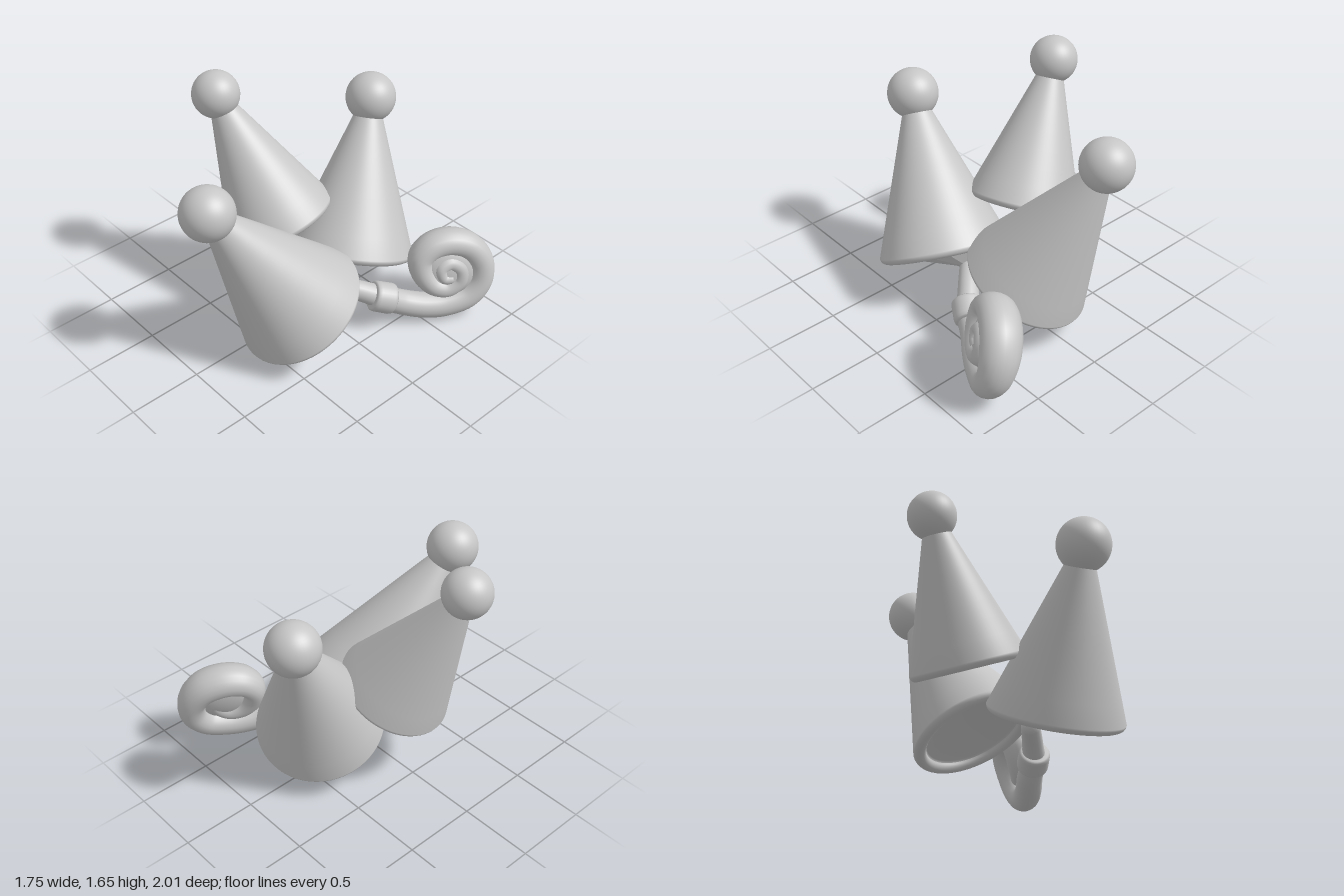
import * as THREE from 'three';

const V = (x, y, z) => new THREE.Vector3(x, y, z);
const UP = V(0, 1, 0);

// Turn a y-up mesh so that it runs from one point towards another
function aim(mesh, from, to) {
  mesh.position.copy(from);
  mesh.quaternion.setFromUnitVectors(UP, to.clone().sub(from).normalize());
  return mesh;
}

// Cone with a rounded lip and a recessed underside
function coneGeometry(radius, length) {
  const lip = 0.044;
  const pts = [[0, 0.07], [radius * 0.5, 0.062], [radius - 0.1, 0.055], [radius - 0.09, 0.044]];
  for (let i = 0; i <= 10; i++) {
    const a = Math.PI * (1 + i / 10);
    pts.push([radius - lip + Math.cos(a) * lip, lip + Math.sin(a) * lip]);
  }
  for (let i = 1; i <= 8; i++) {
    const t = i / 8;
    pts.push([THREE.MathUtils.lerp(radius, 0.053, t), THREE.MathUtils.lerp(lip, length, t)]);
  }
  return new THREE.LatheGeometry(pts.map(([x, y]) => new THREE.Vector2(x, y)), 64);
}

// Flat wedges running from a ring under a cone to one point
function fanGeometry(radius, apex, sides) {
  const ring = (i) => {
    const a = (i / sides) * Math.PI * 2;
    return V(Math.cos(a) * radius, 0.05, Math.sin(a) * radius);
  };
  const pts = [];
  for (let i = 0; i < sides; i++) pts.push(ring(i), ring(i + 1), apex);
  const geometry = new THREE.BufferGeometry().setFromPoints(pts);
  geometry.computeVertexNormals();
  return geometry;
}

export function createModel() {
  const model = new THREE.Group();
  const grey = new THREE.MeshStandardMaterial({ color: 0xc6c6c6 });
  grey.name = 'plain grey';
  const add = (parent, name, geometry) => {
    const mesh = new THREE.Mesh(geometry, grey);
    mesh.name = name;
    parent.add(mesh);
    return mesh;
  };

  // Three leaning cones, each topped with a ball
  const tailRoot = V(0.23, 0.325, -0.03);
  const hats = [
    ['frontCone', V(0.207, 0.284, 0.252), 0.45, V(-0.004, 1.224, 0.822), 0.177],
    ['rightCone', V(-0.286, 0.592, 0), 0.385, V(-0.72, 1.485, 0.183), 0.161],
    ['backCone', V(0.027, 0.316, -0.358), 0.435, V(-0.243, 1.295, -0.778), 0.174],
  ];
  for (const [name, base, radius, tip, ballRadius] of hats) {
    const hat = new THREE.Group();
    hat.name = name;
    const body = aim(add(hat, 'coneBody', coneGeometry(radius, base.distanceTo(tip))), base, tip);
    add(hat, 'ball', new THREE.SphereGeometry(ballRadius, 40, 28)).position.copy(tip);
    if (name === 'frontCone') {
      body.updateMatrixWorld();
      add(body, 'undersideFan', fanGeometry(radius - 0.06, body.worldToLocal(tailRoot.clone()), 14));
    }
    model.add(hat);
  }

  // Curled tail: z, y and sideways bulge along a leaning plane
  const onPlane = (z, y, bulge) => V(0.45 + 0.59 * (-0.28 - z) - 0.28 * (y - 0.1) + bulge, y, z);
  const curl = [
    [-0.4, 0.14, 0], [-0.52, 0.1, 0], [-0.66, 0.093, 0], [-0.8, 0.14, 0], [-0.885, 0.25, 0],
    [-0.9, 0.39, 0], [-0.84, 0.505, 0], [-0.73, 0.55, 0], [-0.62, 0.525, 0], [-0.55, 0.45, 0],
    [-0.54, 0.35, 0.01], [-0.585, 0.26, 0.02], [-0.66, 0.235, 0.03], [-0.735, 0.29, 0.04],
    [-0.74, 0.38, 0.05], [-0.68, 0.43, 0.06], [-0.62, 0.395, 0.07], [-0.625, 0.33, 0.075], [-0.67, 0.32, 0.08],
  ].map((c) => onPlane(...c));
  const path = new THREE.CatmullRomCurve3([tailRoot, V(0.335, 0.28, -0.145), V(0.44, 0.215, -0.27), ...curl]);

  // Taper the tube ring by ring and widen it across the plane of the curl
  const rings = 200, sides = 20;
  const radii = [[0, 0.065], [0.08, 0.072], [0.14, 0.085], [0.28, 0.093], [0.5, 0.096], [0.62, 0.088], [0.75, 0.075], [0.9, 0.055], [1, 0.035]];
  const radiusAt = (t) => {
    let i = 1;
    while (i < radii.length - 1 && radii[i][0] < t) i++;
    const [t0, r0] = radii[i - 1], [t1, r1] = radii[i];
    return THREE.MathUtils.mapLinear(t, t0, t1, r0, r1);
  };
  const across = V(1, 0.28, 0.59).normalize();
  const tube = new THREE.TubeGeometry(path, rings, 1, sides, false);
  const pos = tube.attributes.position, p = new THREE.Vector3();
  for (let i = 0; i <= rings; i++) {
    const t = i / rings, center = path.getPointAt(t);
    const widen = 0.5 * THREE.MathUtils.smoothstep(t, 0.3, 0.6);
    for (let j = 0; j <= sides; j++) {
      const k = i * (sides + 1) + j;
      p.fromBufferAttribute(pos, k).sub(center).multiplyScalar(radiusAt(t));
      p.addScaledVector(across, p.dot(across) * widen).add(center);
      pos.setXYZ(k, p.x, p.y, p.z);
    }
  }
  const tail = new THREE.Group();
  tail.name = 'tail';
  add(tail, 'curl', tube);
  add(tail, 'curlTip', new THREE.SphereGeometry(0.037, 16, 12)).position.copy(path.getPoint(1));
  add(tail, 'tailRoot', new THREE.SphereGeometry(0.065, 16, 12)).position.copy(tailRoot);

  // Web closing the grooves between the turns of the curl
  const web = add(tail, 'curlWeb', new THREE.SphereGeometry(0.2, 32, 16));
  web.scale.y = 0.42;
  const middle = onPlane(-0.7, 0.36, 0.025);
  aim(web, middle, middle.clone().add(across));

  // Collar around the tail
  const collar = [[0, -0.08], [0.09, -0.08], [0.103, -0.07], [0.108, -0.05], [0.106, 0.05], [0.102, 0.07], [0.09, 0.08], [0, 0.08]];
  aim(add(tail, 'collar', new THREE.LatheGeometry(collar.map(([x, y]) => new THREE.Vector2(x, y)), 32)),
    V(0.44, 0.215, -0.27), V(0.33, 0.3, -0.08));
  model.add(tail);
  return model;
}
